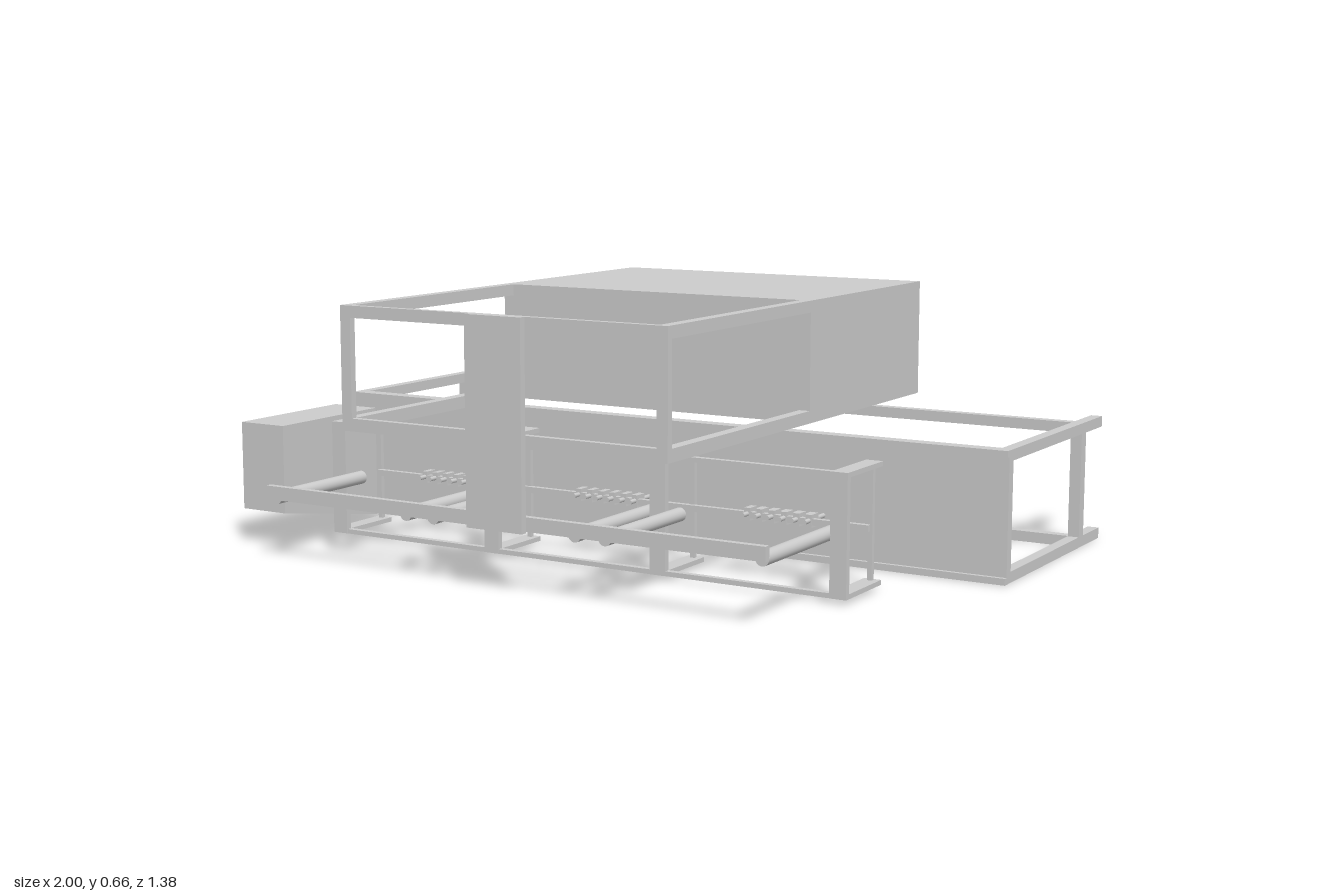
import * as THREE from 'three';

const material = new THREE.MeshStandardMaterial({ color: 0xcccccc, flatShading: true });

export function createModel() {
  const model = new THREE.Group();

  const group = (name) => {
    const g = new THREE.Group();
    g.name = name;
    model.add(g);
    return g;
  };

  // Box given by its minimum and maximum on each axis
  const box = (parent, name, [x0, x1], [y0, y1], [z0, z1]) => {
    const mesh = new THREE.Mesh(new THREE.BoxGeometry(x1 - x0, y1 - y0, z1 - z0), material);
    mesh.position.set((x0 + x1) / 2, (y0 + y1) / 2, (z0 + z1) / 2);
    mesh.name = name;
    parent.add(mesh);
  };

  // Round rod along z
  const rod = (parent, name, x, y, z0, z1, r, sides) => {
    const smooth = new THREE.MeshStandardMaterial({ color: 0xcccccc });
    const mesh = new THREE.Mesh(new THREE.CylinderGeometry(r, r, z1 - z0, sides), smooth);
    mesh.rotation.x = Math.PI / 2;
    mesh.position.set(x, y, (z0 + z1) / 2);
    mesh.name = name;
    parent.add(mesh);
  };

  // Wide base frame: side rails, posts, cross bars and front panel
  const base = group('baseFrame');
  const levels = [[0.003, 0.031], [0.305, 0.333]];
  for (const side of [-1, 1]) {
    const x = side < 0 ? [-1, -0.97] : [0.97, 1];
    for (const y of levels) box(base, 'sideRail', x, y, [-0.69, -0.037]);
    for (const z of [[-0.57, -0.538], [-0.063, -0.037]]) box(base, 'basePost', x, [0.031, 0.305], z);
  }
  for (const y of levels) {
    box(base, 'rearCrossBar', [-0.97, 0.97], y, [-0.57, -0.542]);
    box(base, 'frontCrossBar', [-0.97, 0.97], y, [-0.065, -0.037]);
  }
  box(base, 'topLip', [-1, 1], [0.317, 0.333], [-0.037, -0.026]);
  box(base, 'bottomLip', [-1, 1], [0.003, 0.02], [-0.037, -0.026]);
  box(base, 'frontPanel', [-0.97, 0.97], [0.02, 0.317], [-0.048, -0.037]);

  // Upper housing with a plate below it
  const housing = group('upperHousing');
  box(housing, 'housingBody', [-0.467, 0.467], [0.357, 0.668], [-0.69, -0.028]);
  box(housing, 'undersidePlate', [-0.267, 0.267], [0.345, 0.357], [-0.437, -0.168]);

  // Open frame reaching forward from the housing
  const upper = group('upperFrame');
  const upperLevels = [[0.357, 0.389], [0.638, 0.668]];
  for (const x of [[-0.467, -0.437], [0.437, 0.467]]) {
    for (const y of upperLevels) box(upper, 'upperRail', x, y, [-0.028, 0.654]);
    box(upper, 'upperPost', x, [0.357, 0.668], [0.654, 0.672]);
  }
  for (const y of upperLevels) box(upper, 'upperCrossBar', [-0.437, 0.437], y, [0.654, 0.672]);

  // Hanging plate joining the upper frame to the front bar
  const front = group('frontAssembly');
  box(front, 'hangingPlate', [-0.08, 0.08], [0.157, 0.668], [0.672, 0.69]);
  box(front, 'frontBar', [-0.72, 0.717], [0.16, 0.195], [0.654, 0.672]);
  for (const x of [-0.702, -0.288, -0.205, 0.205, 0.288, 0.7]) {
    rod(front, 'guideRod', x, 0.163, 0.312, 0.656, 0.0175, 24);
  }

  // Rack of four upright rings joined by long bars
  const rack = group('rack');
  for (const c of [-0.744, -0.248, 0.248, 0.738]) {
    const x = [c - 0.022, c + 0.022];
    box(rack, 'ringTop', x, [0.303, 0.315], [0.162, 0.353]);
    box(rack, 'ringBottom', x, [0.014, 0.026], [0.162, 0.353]);
    box(rack, 'ringFront', x, [0.026, 0.303], [0.337, 0.353]);
    box(rack, 'ringBack', [c - 0.006, c + 0.006], [0.026, 0.303], [0.17, 0.182]);
  }
  box(rack, 'rackTopBar', [-0.72, 0.717], [0.303, 0.315], [0.335, 0.352]);
  box(rack, 'rackBottomBar', [-0.72, 0.717], [0.014, 0.026], [0.335, 0.352]);
  box(rack, 'nozzleBar', [-0.744, 0.738], [0.146, 0.162], [0.178, 0.193]);

  // Three groups of six nozzles
  const nozzles = group('nozzles');
  for (const centre of [-0.495, 0, 0.495]) {
    for (let i = 0; i < 6; i++) {
      const x = centre + (i - 2.5) * 0.034;
      box(nozzles, 'nozzleBlock', [x - 0.008, x + 0.008], [0.14, 0.172], [0.158, 0.194]);
      rod(nozzles, 'nozzleTip', x, 0.157, 0.115, 0.217, 0.006, 10);
    }
  }

  // Side cabinet with a sloping underside, profile drawn in (-z, y)
  const profile = new THREE.Shape([[-0.546, 0.096], [-0.162, 0.03], [-0.162, 0.327], [-0.546, 0.327]]
    .map(([a, b]) => new THREE.Vector2(a, b)));
  const cabinet = new THREE.Mesh(
    new THREE.ExtrudeGeometry(profile, { depth: 0.14, bevelEnabled: false }), material);
  cabinet.rotation.y = Math.PI / 2;
  cabinet.position.x = -0.91;
  cabinet.name = 'sideCabinet';
  model.add(cabinet);

  return model;
}
